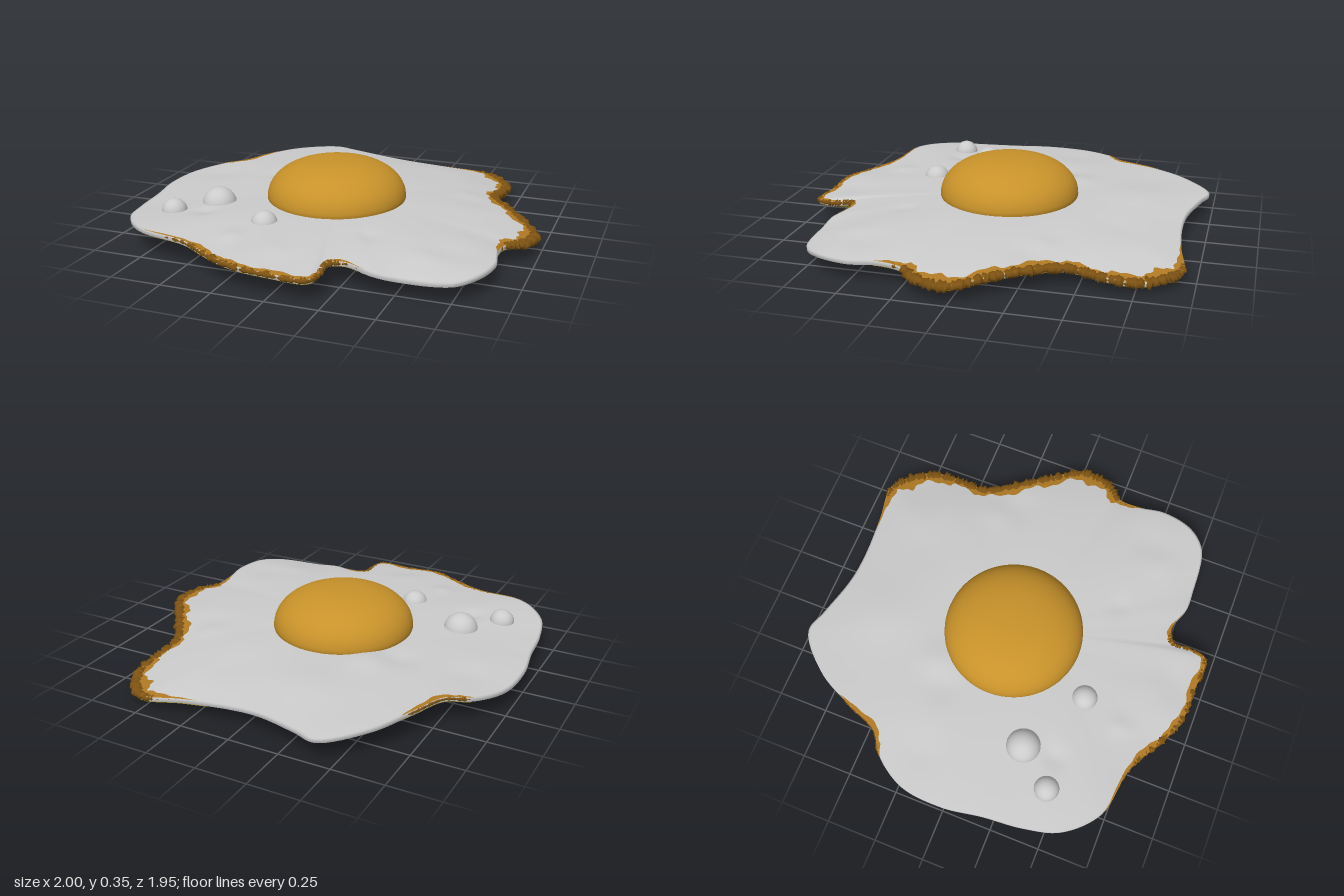
import * as THREE from 'three';

// Outline of the egg white, going round from the left side: x, rim height, z
const OUTLINE = [
  [.97, .07, .02], [.94, .08, .17], [.87, .09, .25], [.86, .1, .36], [.88, .1, .5], [.84, .1, .66],
  [.75, .09, .75], [.5, .09, .78], [.4, .1, .78], [.27, .11, .74], [.2, .11, .77], [.2, .1, .86],
  [.18, .1, .95], [0, .1, .95], [-.18, .11, .94], [-.33, .11, .87], [-.5, .12, .78], [-.75, .13, .73],
  [-.9, .12, .58], [-.95, .11, .4], [-.97, .11, .2], [-1, .11, 0], [-.98, .11, -.22], [-.88, .12, -.38],
  [-.78, .13, -.45], [-.7, .13, -.63], [-.6, .12, -.82], [-.42, .105, -.98], [-.3, .105, -.95],
  [-.1, .1, -.9], [.05, .09, -.89], [.3, .07, -.91], [.5, .05, -.94], [.58, .045, -.89],
  [.67, .045, -.76], [.68, .06, -.6], [.67, .08, -.45], [.77, .09, -.28], [.87, .085, -.14],
];
const N = OUTLINE.length;
const rim = new THREE.CatmullRomCurve3(OUTLINE.map(p => new THREE.Vector3(...p)), true, 'centripetal');
const rimPoint = k => rim.getPoint((((k % N) + N) % N) / N);

const CENTRE = new THREE.Vector3(-.04, 0, 0);
const gauss = (x, z, cx, cz, r) => Math.exp(-((x - cx) ** 2 + (z - cz) ** 2) / (r * r));

// Small dents and swellings of the top: x, z, radius, height
const BUMPS = [
  [-.33, -.3, .09, .012], [-.45, -.22, .08, -.01], [.62, -.25, .1, -.012], [.55, -.33, .08, .01],
  [.68, .5, .1, -.012], [.58, .58, .07, .008], [-.58, .42, .05, -.014], [-.32, .67, .05, .012],
  [0, .84, .1, -.012], [-.05, .77, .08, .008], [.28, .45, .05, -.008], [-.8, -.2, .1, -.01],
  [-.2, -.65, .15, .01], [.25, -.6, .14, -.008],
];

// Point of the white: k round the outline, t from centre (0) to rim (1)
function whitePoint(k, t, top, lift = 0) {
  const e = rimPoint(k);
  const x = CENTRE.x + (e.x - CENTRE.x) * t, z = e.z * t;
  const inner = 1 - t ** 6;
  let y;
  if (top) {
    y = THREE.MathUtils.lerp(.152, e.y + .008, t ** 3.2);
    for (const [bx, bz, r, h] of BUMPS) y += h * inner * gauss(x, z, bx, bz, r);
    y += .004 * inner * t * Math.sin(7 * x + 2 * z) * Math.cos(6 * z - 2 * x);
    y -= .012 * (1 - t ** 20) * gauss(x, z, .55, -.8, .2);
  } else {
    y = THREE.MathUtils.lerp(.035, e.y - .012, t ** 3);
    y -= .033 * (1 - t ** 14) * gauss(x, z, .52, -.74, .26);
  }
  return new THREE.Vector3(x, Math.max(y, .004) + (top ? lift : -lift), z);
}

// Surface from rows of points; closed rows wrap round
function gridGeometry(rows, wrap) {
  const n = rows[0].length, index = [];
  for (let j = 0; j < rows.length - 1; j++) {
    for (let i = 0; i < (wrap ? n : n - 1); i++) {
      const i2 = (i + 1) % n;
      const a = j * n + i, b = j * n + i2, c = a + n, d = b + n;
      index.push(a, b, c, b, d, c);
    }
  }
  const geo = new THREE.BufferGeometry().setFromPoints(rows.flat());
  geo.setIndex(index);
  geo.computeVertexNormals();
  return geo;
}

const range = (n, f) => Array.from({ length: n }, (_, i) => f(i));
const material = (color, roughness = .7) => new THREE.MeshStandardMaterial({ color, roughness, side: THREE.DoubleSide });

function seeded(seed) {
  return () => (seed = (seed * 16807) % 2147483647) / 2147483647;
}

// Lumpy burnt roll following the rim from k0 to k1
function crustGeometry(k0, k1, width, seed) {
  const rand = seeded(seed), n = Math.round((k1 - k0) * 22), sides = 9;
  const sections = range(n + 1, i => {
    const k = k0 + (k1 - k0) * i / n;
    const p = rimPoint(k), q = rimPoint(k + .05).sub(rimPoint(k - .05)).normalize();
    const out = new THREE.Vector3(q.z, 0, -q.x);
    const taper = Math.min(1, .15 + 5 * Math.min(i, n - i) / n);
    const lump = .8 + .25 * Math.sin(k * 9) * Math.sin(k * 23) + .35 * rand();
    const drift = (rand() - .5) * width * .5;
    return range(sections_sides(sides), s => {
      const a = s / sides * Math.PI * 2, r = width * taper * lump * (.85 + .35 * rand());
      return p.clone()
        .addScaledVector(out, Math.cos(a) * r - width * .5 + drift * taper)
        .add(new THREE.Vector3(0, Math.sin(a) * r * .75 + drift * .5 * taper, 0));
    });
  });
  return gridGeometry(sections, true);
}
function sections_sides(n) { return n; }

// Thin toasted stain laid on the white beside the crust
function stainGeometry(k0, k1, width, top, lift) {
  const n = Math.round((k1 - k0) * 10);
  const rows = range(5, j => range(n + 1, i => {
    const f = i / n, k = k0 + (k1 - k0) * f;
    const w = width * Math.min(1, 6 * f, 6 * (1 - f)) * (.85 + .2 * Math.sin(k * 5) + .1 * Math.sin(k * 13));
    return whitePoint(k, 1 - w * (1 - j / 4), top, lift);
  }));
  return gridGeometry(top ? rows : rows.reverse(), false);
}

export function createModel() {
  const model = new THREE.Group();
  const add = (name, geo, mat, parent = model) => {
    const mesh = new THREE.Mesh(geo, mat);
    mesh.name = name;
    parent.add(mesh);
    return mesh;
  };

  // Egg white: top from centre to rim, then underside back to centre
  const steps = range(31, j => 1 - (1 - j / 30) ** 1.35);
  const rows = [...steps.map(t => [t, true]), ...steps.slice().reverse().map(t => [t, false])];
  const around = N * 8;
  add('eggWhite', gridGeometry(rows.map(([t, top]) => range(around, i => whitePoint(i / 8, t, top))), true),
    material(0xcccccc));

  // Yolk: flattened dome
  const profile = [[.335, .1], [.35, .155]];
  for (let i = 1; i <= 24; i++) {
    const a = i / 24 * Math.PI / 2;
    profile.push([.35 * Math.cos(a) ** .82, .155 + .192 * Math.sin(a) ** .95]);
  }
  profile[profile.length - 1][0] = 0;
  const yolk = add('yolk', new THREE.LatheGeometry(profile.map(p => new THREE.Vector2(...p)), 64),
    material(0xc8922a, .5));
  yolk.position.set(-.05, 0, 0);

  // Air bubbles
  const bubbles = new THREE.Group();
  bubbles.name = 'bubbles';
  model.add(bubbles);
  for (const [x, y, z, r] of [[-.58, .13, .26, .086], [-.735, .133, .44, .062], [-.245, .132, .455, .065]]) {
    add('bubble', new THREE.SphereGeometry(r, 32, 20), material(0xcccccc), bubbles).position.set(x, y, z);
  }

  // Burnt rim: rolls of crust with toasted stains above and below
  const burnt = new THREE.Group();
  burnt.name = 'burntRim';
  model.add(burnt);
  const brown = material(0x7d5212, .9), amber = material(0xb07a24, .8), yellow = material(0x9c8418, .8);
  [[30.7, 42.2, .026, .075], [8.2, 17, .016, .035], [22.9, 25.3, .011, .03]].forEach(([k0, k1, w, stain], i) => {
    add('crust', crustGeometry(k0, k1, w, 17 + i * 101), brown, burnt);
    add('toastedTop', stainGeometry(k0, k1, stain, true, .002), amber, burnt);
    add('toastedUnderside', stainGeometry(k0, k1, stain * 1.3, false, .002), yellow, burnt);
  });
  // Wide oily stain under the drooping back corner
  add('cornerUnderside', stainGeometry(30.5, 37, .15, false, .003), yellow, burnt);

  return model;
}
